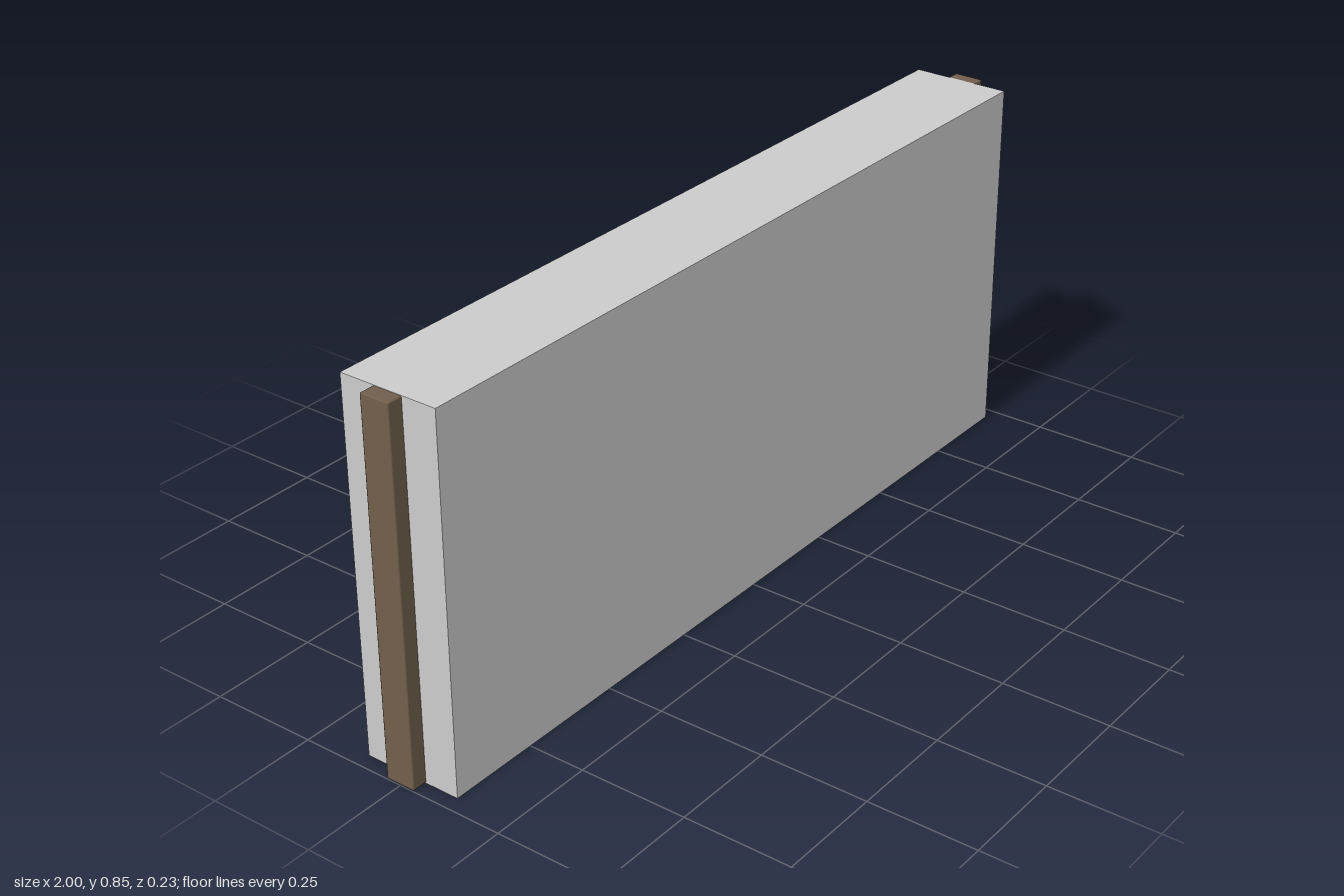
import * as THREE from 'three';
import { RoundedBoxGeometry } from 'three/addons/geometries/RoundedBoxGeometry.js';

export function createModel() {
  const group = new THREE.Group();
  const grey = new THREE.MeshStandardMaterial({ color: 0xcccccc });
  const brown = new THREE.MeshStandardMaterial({ color: 0x715f4c });

  const height = 0.85;
  const wallEnd = 0.965;

  const add = (name, geometry, material, x, y, z) => {
    const mesh = new THREE.Mesh(geometry, material);
    mesh.name = name;
    mesh.position.set(x, y, z);
    group.add(mesh);
  };

  // Solid wall panel
  add('wallPanel', new THREE.BoxGeometry(wallEnd * 2, height, 0.233), grey, 0, height / 2, 0);

  for (const [side, s] of [['left', 1], ['right', -1]]) {
    // Timber post with softened edges, let into the end of the wall
    add(`${side}Post`, new RoundedBoxGeometry(0.06, height - 0.002, 0.07, 1, 0.003),
      brown, s * 0.97, height / 2, 0);

    // Two small hinge plates on the back of each post, barely clear of the wall
    for (const [level, y] of [['Lower', 0.233], ['Upper', 0.619]]) {
      add(`${side}${level}Hinge`, new THREE.BoxGeometry(0.03, 0.047, 0.018),
        brown, s * (wallEnd - 0.008), y, -0.038);
    }
  }
  return group;
}
